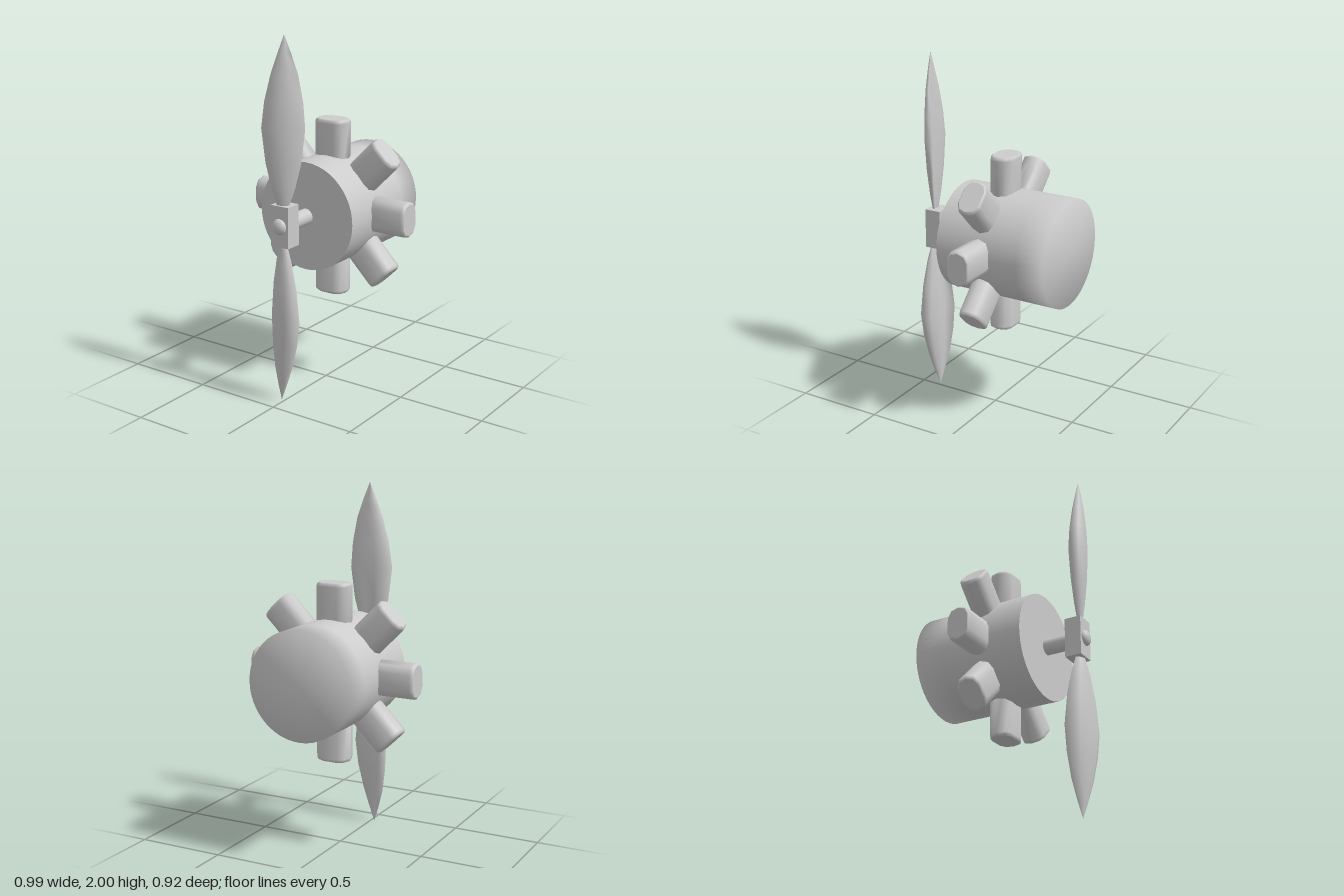
import * as THREE from 'three';

const material = new THREE.MeshStandardMaterial({ color: 0xcccccc });

function add(parent, name, geometry, x = 0, y = 0, z = 0) {
  const mesh = new THREE.Mesh(geometry, material);
  mesh.name = name;
  mesh.position.set(x, y, z);
  parent.add(mesh);
  return mesh;
}

// Skin closed rings of equal length, with fan caps at both ends
function loft(rings) {
  const n = rings[0].length;
  const positions = rings.flat(2);
  const index = [];
  for (let r = 0; r < rings.length - 1; r++) {
    for (let i = 0; i < n; i++) {
      const a = r * n + i, b = r * n + (i + 1) % n;
      index.push(a, a + n, b, b, a + n, b + n);
    }
  }
  const last = (rings.length - 1) * n;
  for (let i = 1; i < n - 1; i++) {
    index.push(0, i, i + 1, last, last + i + 1, last + i);
  }
  const g = new THREE.BufferGeometry();
  g.setAttribute('position', new THREE.Float32BufferAttribute(positions, 3));
  g.setIndex(index);
  g.computeVertexNormals();
  return g;
}

// Pitched, lens-like blade section as [x, z] offsets from the blade axis
const bladeSection = [
  [-0.115, 0.015], [-0.095, 0.05], [-0.05, 0.065], [0.01, 0.054], [0.065, 0.02],
  [0.115, -0.045], [0.05, -0.022], [-0.03, -0.04], [-0.09, -0.015],
];
// Blade stations: height from the hub centre, section scale, sideways shift
const bladeStations = [
  [0.08, 0.2, 0], [0.2, 0.54, 0], [0.34, 0.82, 0], [0.52, 1, 0], [0.66, 0.88, 0.006],
  [0.8, 0.62, 0.014], [0.91, 0.3, 0.018], [1, 0.005, 0.02],
];

// Flattened ten-sided outline of an engine cylinder as [tangent, z]
const cylinderSection = [
  [0.1, 0], [0.085, 0.047], [0.045, 0.068], [-0.045, 0.068], [-0.085, 0.047],
  [-0.1, 0], [-0.085, -0.047], [-0.045, -0.068], [0.045, -0.068], [0.085, -0.047],
];

export function createModel() {
  const model = new THREE.Group();
  model.name = 'radialEngine';

  // Crankcase: crisp front edge, softly shaded rear edge
  const profile = [[0, -0.46], [0.3, -0.46], [0.3, -0.3], [0.3, 0.19]]
    .map(([r, h]) => new THREE.Vector2(r, h));
  add(model, 'crankcase', new THREE.LatheGeometry(profile, 48).rotateX(Math.PI / 2), 0, 1, 0);
  add(model, 'crankcaseFront', new THREE.CircleGeometry(0.3, 48), 0, 1, 0.19);

  // Eight engine cylinders around the crankcase
  const cylinderRings = [[0.15, 1], [0.475, 1], [0.488, 0.97], [0.495, 0.88]]
    .map(([h, s]) => cylinderSection.map(([x, z]) => [x * s, h, -z * s]).reverse());
  const headRing = cylinderSection.map(([x, z]) => [x * 0.86, 0.495, -z * 0.86]).reverse();
  const cylinderGeometry = loft([...cylinderRings, headRing].map((r) => r.map(([x, y, z]) => [x, y, -z]).reverse()));
  orientOutward(cylinderGeometry);
  for (let i = 0; i < 8; i++) {
    const cylinder = add(model, 'engineCylinder', cylinderGeometry, 0, 1, -0.067);
    cylinder.rotation.z = i * Math.PI / 4;
  }

  // Shaft, hub block and rounded hub cap
  add(model, 'shaft', new THREE.CylinderGeometry(0.044, 0.044, 0.23, 24).rotateX(Math.PI / 2), 0, 1, 0.285);
  add(model, 'hub', new THREE.BoxGeometry(0.112, 0.224, 0.094), 0, 1, 0.378);
  const cap = add(model, 'hubCap', new THREE.SphereGeometry(0.044, 24, 16), 0, 1, 0.424);
  cap.scale.z = 0.65;

  // Two opposed propeller blades
  const bladeGeometry = loft(bladeStations.map(([h, s, shift]) =>
    bladeSection.map(([x, z]) => [x * s + shift, h, z * s])));
  orientOutward(bladeGeometry);
  for (let i = 0; i < 2; i++) {
    const blade = add(model, 'propellerBlade', bladeGeometry, 0, 1, 0.395);
    blade.rotation.z = i * Math.PI;
  }
  return model;
}

// Flip the winding of a closed solid if its signed volume is negative
function orientOutward(g) {
  const p = g.attributes.position, idx = g.index.array;
  const [a, b, c] = [0, 1, 2].map(() => new THREE.Vector3());
  let volume = 0;
  for (let i = 0; i < idx.length; i += 3) {
    a.fromBufferAttribute(p, idx[i]);
    b.fromBufferAttribute(p, idx[i + 1]);
    c.fromBufferAttribute(p, idx[i + 2]);
    volume += a.dot(b.cross(c));
  }
  if (volume < 0) {
    for (let i = 0; i < idx.length; i += 3) [idx[i], idx[i + 1]] = [idx[i + 1], idx[i]];
    g.computeVertexNormals();
  }
}
